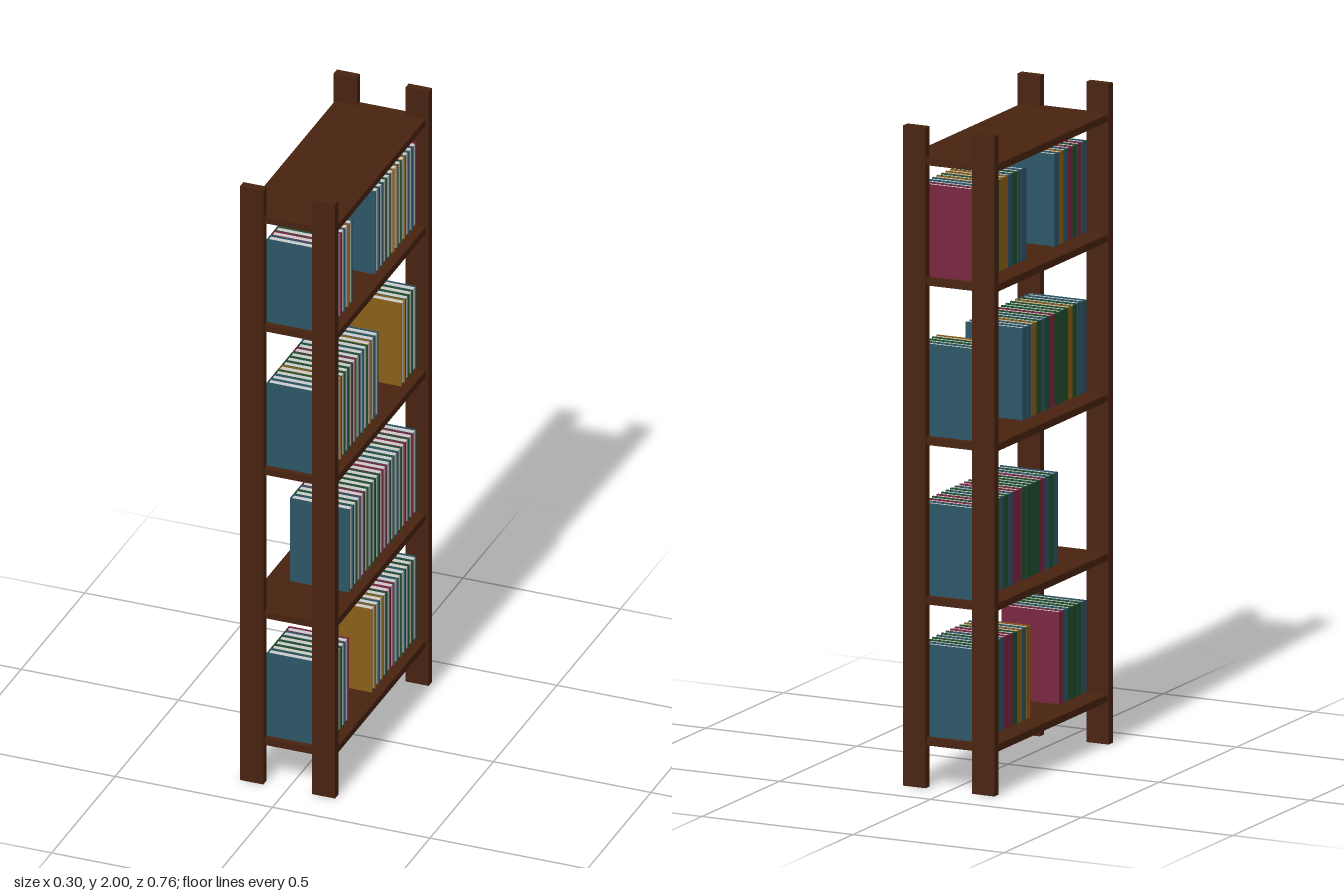
import * as THREE from 'three';

const mat = (color) => new THREE.MeshStandardMaterial({ color });
const wood = mat(0x48220f);
const paper = mat(0xd6d6d6);
const BLUE = 0, RED = 1, GOLD = 2, GREEN = 3;
const covers = [0x2b5666, 0x7a2640, 0x8a5f18, 0x1f4f2e].map(mat);

const BOOK = { thick: 0.0293, height: 0.279, back: -0.077, front: 0.113, board: 0.003 };

function box(name, material, [x0, x1], [y0, y1], [z0, z1]) {
  const mesh = new THREE.Mesh(new THREE.BoxGeometry(x1 - x0, y1 - y0, z1 - z0), material);
  mesh.position.set((x0 + x1) / 2, (y0 + y1) / 2, (z0 + z1) / 2);
  mesh.name = name;
  return mesh;
}

// U-shaped cover: two boards joined by a spine on the -x side
function coverGeometry() {
  const { thick, height, back, front, board } = BOOK;
  const h = thick / 2 - 0.0003;
  const shape = new THREE.Shape([
    [back, -h], [front, -h], [front, -h + board], [back + board, -h + board],
    [back + board, h - board], [front, h - board], [front, h], [back, h],
  ].map(([x, y]) => new THREE.Vector2(x, y)));
  return new THREE.ExtrudeGeometry(shape, { depth: height, bevelEnabled: false }).rotateX(-Math.PI / 2);
}

function pagesGeometry() {
  const { thick, height, back, front, board } = BOOK;
  const x0 = back + board, x1 = front - 0.004;
  return new THREE.BoxGeometry(x1 - x0, height - 0.008, thick - 2 * board)
    .translate((x0 + x1) / 2, height / 2, 0);
}

export function createModel() {
  const model = new THREE.Group();
  model.name = 'bookshelf';

  // Four corner posts
  for (const sx of [-1, 1]) {
    for (const sz of [-1, 1]) {
      const post = box('post', wood, [-0.037, 0.037], [0, 2], [-0.0135, 0.0135]);
      post.position.x = sx * 0.114;
      post.position.z = sz * 0.3685;
      model.add(post);
    }
  }

  // Shelf boards, by the height of their upper face
  for (const top of [0.151, 0.578, 1.061, 1.544, 1.908]) {
    model.add(box('shelf', wood, [-0.147, 0.142], [top - 0.022, top], [-0.377, 0.373]));
  }

  // Rows of books: shelf height, front end z, count, colours of the first and last book
  const rows = [
    [0.151, 0.355, 6, BLUE, RED], [0.151, -0.003, 12, GOLD, BLUE],
    [0.578, 0.173, 18, BLUE, BLUE],
    [1.061, 0.355, 14, BLUE, BLUE], [1.061, -0.237, 4, GOLD, BLUE],
    [1.544, 0.355, 7, BLUE, BLUE], [1.544, -0.032, 11, BLUE, RED],
  ];
  const cover = coverGeometry();
  const pages = pagesGeometry();
  let seed = 7;
  const pick = () => {
    seed = (seed * 16807) % 2147483647;
    return [GREEN, BLUE, GREEN, RED, BLUE, GREEN, GOLD][seed % 7];
  };
  for (const [y, z, count, first, last] of rows) {
    const row = new THREE.Group();
    row.name = 'bookRow';
    for (let i = 0; i < count; i++) {
      const color = i === 0 ? first : i === count - 1 ? last : pick();
      const book = new THREE.Group();
      book.name = 'book';
      const shell = new THREE.Mesh(cover, covers[color]);
      shell.name = 'cover';
      const block = new THREE.Mesh(pages, paper);
      block.name = 'pages';
      book.add(shell, block);
      book.position.set(0, y, z - (i + 0.5) * BOOK.thick);
      row.add(book);
    }
    model.add(row);
  }
  return model;
}
